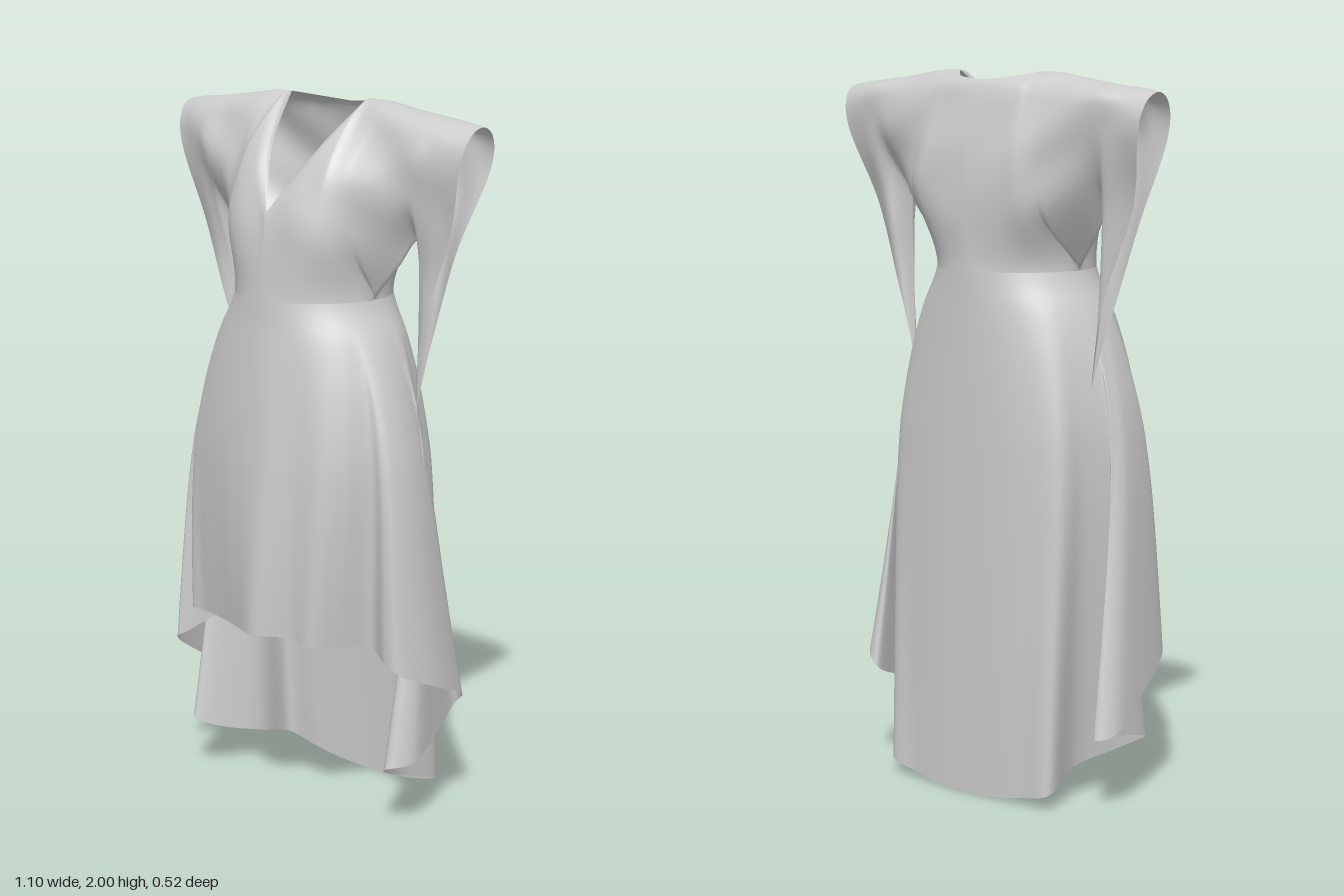
import * as THREE from 'three';
import { mergeVertices, mergeGeometries } from 'three/addons/utils/BufferGeometryUtils.js';

const { lerp, clamp } = THREE.MathUtils;

// Catmull-Rom interpolation of a list of numbers at a fractional index
function cat(list, t) {
  const n = list.length - 1;
  const i = Math.min(n - 1, Math.max(0, Math.floor(t)));
  const f = t - i;
  const p = k => list[Math.min(n, Math.max(0, k))];
  const a = p(i - 1), b = p(i), c = p(i + 1), d = p(i + 2);
  return b + 0.5 * f * (c - a + f * (2 * a - 5 * b + 4 * c - d + f * (3 * (b - c) + d - a)));
}
// The same with a corner at index k
const catCorner = (list, t, k) => t <= k ? cat(list.slice(0, k + 1), t) : cat(list.slice(k), t - k);

// Grid surface from a rule point(u, v) -> [x, y, z]
function sheet(point, nu, nv, flip) {
  const pos = [], index = [];
  for (let j = 0; j <= nv; j++)
    for (let i = 0; i <= nu; i++) pos.push(...point(i / nu, j / nv));
  for (let j = 0; j < nv; j++)
    for (let i = 0; i < nu; i++) {
      const a = j * (nu + 1) + i, b = a + 1, c = a + nu + 1, d = c + 1;
      index.push(...(flip ? [a, d, b, a, c, d] : [a, b, d, a, d, c]));
    }
  const g = new THREE.BufferGeometry();
  g.setAttribute('position', new THREE.Float32BufferAttribute(pos, 3));
  g.setIndex(index);
  return g;
}

function cloth(name, geometries) {
  const g = mergeVertices(mergeGeometries(geometries), 1e-4);
  g.computeVertexNormals();
  const mesh = new THREE.Mesh(g, new THREE.MeshStandardMaterial({ color: 0xcccccc, side: THREE.DoubleSide }));
  mesh.name = name;
  return mesh;
}

const WAIST = { y: 1.46, x: 0.225, z: -0.035, depth: 0.215 };
const NECK = 2, UNDERARM = 3; // bodice columns where the two sheets meet

// Bodice columns, from the centre line out to the sleeve opening
const lowX = [0, 0.12, 0.2, 0.225, 0.3, 0.36, 0.35, 0.325];
const lowY = [1.46, 1.46, 1.46, 1.46, 1.555, 1.63, 1.42, 1.15];
const topX = [0, 0.085, 0.15, 0.22, 0.32, 0.42, 0.49, 0.55];
const frontTopY = [1.7, 1.86, 1.997, 1.995, 1.98, 1.967, 1.96, 1.95];
const backTopY = [1.975, 1.982, 1.997, 1.995, 1.98, 1.967, 1.96, 1.95];
// Height fractions up a column, and the depth of the cloth at each of them
const rows = [0, 0.3, 0.6, 0.85, 0.96, 1];
const frontZ = [
  [0.18, 0.174, 0.168, 0.162, 0.156, 0.15],
  [0.147, 0.157, 0.148, 0.105, 0.07, 0.045],
  [0.063, 0.115, 0.1, 0.012, -0.045, -0.1],
  [-0.035, 0.06, 0.06, -0.01, -0.05, -0.1],
  [-0.05, 0.005, 0.018, -0.015, -0.05, -0.1],
  [-0.07, -0.01, 0.003, -0.022, -0.05, -0.1],
  [-0.08, -0.05, -0.025, -0.022, -0.05, -0.1],
  [-0.1, -0.06, -0.06, -0.032, -0.05, -0.1],
];
const backZ = [
  [-0.25, -0.255, -0.245, -0.215, -0.195, -0.18],
  [-0.217, -0.25, -0.24, -0.21, -0.19, -0.165],
  [-0.133, -0.235, -0.235, -0.2, -0.165, -0.1],
  [-0.035, -0.2, -0.215, -0.19, -0.155, -0.1],
  [-0.05, -0.155, -0.187, -0.18, -0.15, -0.1],
  [-0.07, -0.13, -0.17, -0.175, -0.15, -0.1],
  [-0.08, -0.13, -0.15, -0.17, -0.15, -0.1],
  [-0.1, -0.115, -0.107, -0.16, -0.15, -0.1],
];

// Depth of a sheet along row k at column a
function rowDepth(table, k, a) {
  const list = table.map(col => col[k]);
  if (k === 0) return catCorner(list, a, UNDERARM);
  return k === 5 ? catCorner(list, a, NECK) : cat(list, a);
}

function bodicePoint(u, v, side, back) {
  const a = u * 7, r = v * 5;
  const [own, other] = back ? [backZ, frontZ] : [frontZ, backZ];
  // beyond the neck the cloth rolls over the shoulder into the other sheet
  const roll = clamp(a - 1, 0, 1);
  const s = cat([...rows, lerp(1, rows[4], roll)], r);
  const depths = rows.map((_, k) => rowDepth(own, k, a));
  let z = cat([...depths, lerp(depths[5], rowDepth(other, 4, a), roll)], r);
  const x0 = catCorner(lowX, a, UNDERARM), y0 = catCorner(lowY, a, UNDERARM);
  let x = lerp(x0, catCorner(topX, a, NECK), s);
  const y = lerp(y0, catCorner(back ? backTopY : frontTopY, a, NECK), s);
  if (a <= UNDERARM) { // meet the waist oval exactly
    const oval = WAIST.depth * Math.sqrt(Math.max(0, 1 - (x0 / WAIST.x) ** 2));
    z += (WAIST.z + (back ? -oval : oval) - z) * (1 - s) ** 8;
  }
  // bowed sleeve edge, and soft creases fading out at every edge
  x -= 0.014 * u ** 4 * Math.sin(2 * Math.PI * s);
  z += 0.006 * Math.sin(Math.PI * v) * Math.sin(Math.PI * u) * Math.sin(26 * y + 22 * x * side);
  return [x * side, y, z];
}

// Hem points by section, each with its span of angles round the hips (0 = front)
const hemSections = [
  { from: -60, to: 60, pts: [[-0.315, 0.515, 0.14], [-0.25, 0.52, 0.155], [-0.15, 0.525, 0.185], [-0.05, 0.53, 0.225],
    [0.05, 0.535, 0.262], [0.13, 0.53, 0.205], [0.21, 0.52, 0.2], [0.25, 0.515, 0.14]] },
  { from: 60, to: 120, pts: [[0.3, 0.505, 0.05], [0.38, 0.48, 0.08], [0.43, 0.45, 0.06], [0.455, 0.4, -0.06],
    [0.42, 0.34, -0.2], [0.37, 0.29, -0.22], [0.41, 0.24, -0.1], [0.445, 0.2, 0.03], [0.39, 0.18, 0.09], [0.31, 0.11, -0.05]] },
  { from: 120, to: 240, pts: [[0.3, 0.05, -0.23], [0.2, 0.02, -0.247], [0.08, 0.003, -0.257],
    [-0.08, 0.003, -0.257], [-0.2, 0.02, -0.252], [-0.3, 0.045, -0.24]] },
  { from: 240, to: 300, pts: [[-0.27, 0.09, -0.1], [-0.31, 0.12, 0.02], [-0.36, 0.15, 0.09], [-0.39, 0.17, 0.05],
    [-0.4, 0.2, -0.1], [-0.42, 0.21, -0.2], [-0.465, 0.23, -0.15], [-0.44, 0.32, 0], [-0.4, 0.4, 0.125],
    [-0.36, 0.43, 0.11], [-0.305, 0.49, 0.03]] },
];
const hem = hemSections.flatMap(({ from, to, pts }) =>
  pts.map((p, j) => [...p, from + (to - from) * (j + 0.5) / pts.length]));
const count = hem.length;
// repeat the ring so that it closes smoothly
const wrapped = [-1, 0, 1].flatMap(k => hem.map(([x, y, z, a]) => [x, y, z, a + 360 * k]));
const hemLists = [0, 1, 2, 3].map(k => wrapped.map(p => p[k]));

// Half width of the skirt at every 0.1 below the waist, constant after the last
const widths = [0.225, 0.278, 0.314, 0.34, 0.36, 0.373, 0.382, 0.386, 0.388];

function skirtPoint(u, v) {
  const [hx, hy, hz, deg] = hemLists.map(list => cat(list, count + u * count));
  const y = lerp(WAIST.y, hy, v);
  const drop = WAIST.y - y;
  const angle = THREE.MathUtils.degToRad(deg);
  const sn = Math.sin(angle), cs = Math.cos(angle);
  const e = 1 - 0.18 * Math.min(1, drop / 0.45);
  const square = t => Math.sign(t) * Math.abs(t) ** e;
  const bx = cat(widths, Math.min(8, drop * 10)) * square(sn);
  const bz = WAIST.z + square(cs) * (WAIST.depth + (cs > 0 ? 0.075 : 0.01) * drop);
  // the folds deepen from the hips to the hem
  const m = clamp((1.4 - y) / (1.4 - hy), 0, 1) ** 1.2;
  return [lerp(bx, hx, m), y, lerp(bz, hz, m)];
}

export function createModel() {
  const group = new THREE.Group();
  group.name = 'dress';
  // bodice with V-neck and hanging sleeves: front and back sheets, mirrored
  const panels = [];
  for (const side of [1, -1])
    for (const back of [false, true])
      panels.push(sheet((u, v) => bodicePoint(u, v, side, back), 63, 40, back === (side === 1)));
  group.add(cloth('bodiceAndSleeves', panels));
  // folded skirt with a hem that is short in front and long behind
  group.add(cloth('skirt', [sheet(skirtPoint, 280, 60, true)]));
  return group;
}
